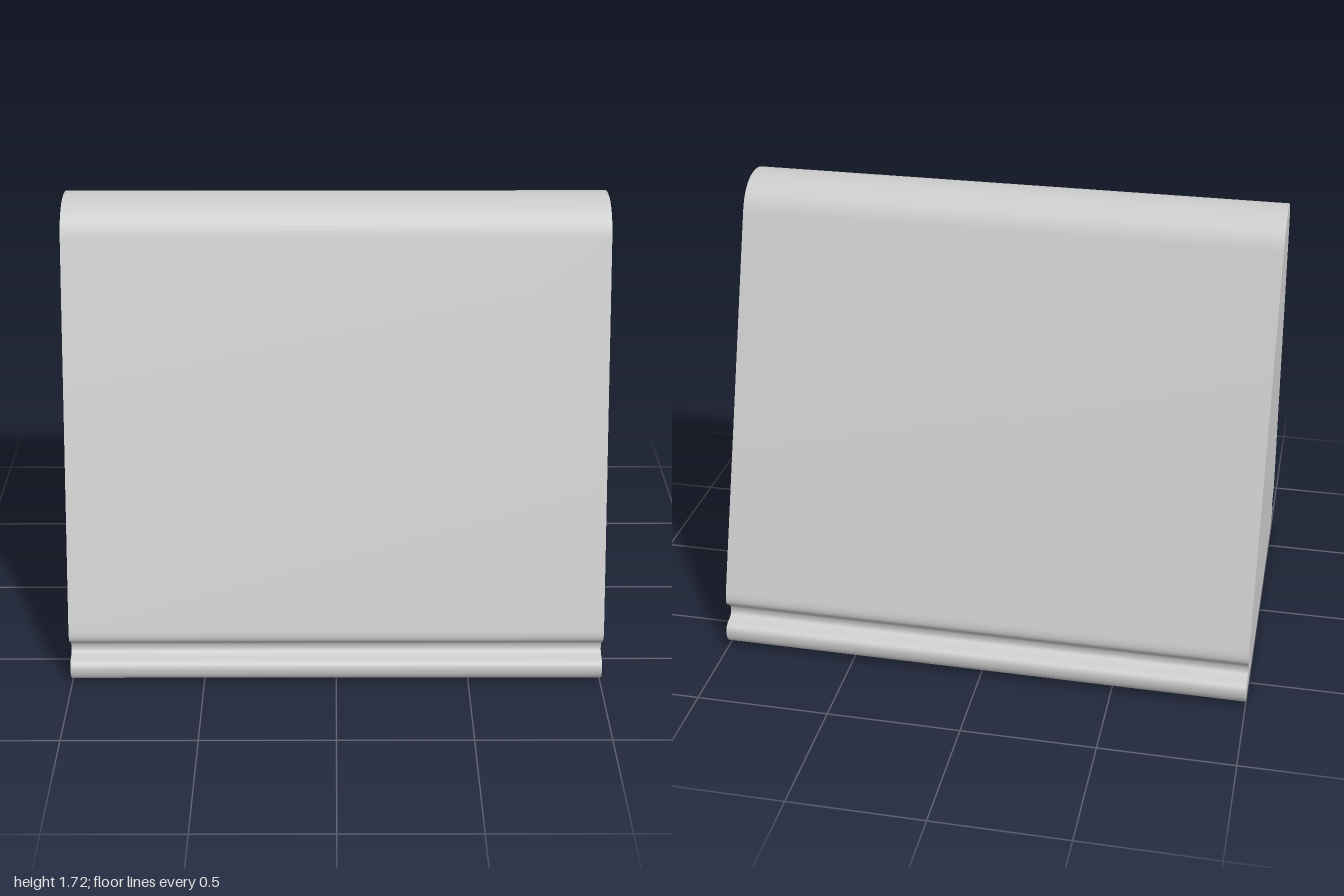
import * as THREE from 'three';
import { toCreasedNormals } from 'three/addons/utils/BufferGeometryUtils.js';

const LENGTH = 2;

// Half of the cross-section (depth, height), from the base centre up to the ridge
function halfProfile() {
  const path = new THREE.Path();
  path.moveTo(0, 0);
  path.lineTo(0.56, 0);
  path.bezierCurveTo(0.635, 0.005, 0.674, 0.02, 0.674, 0.07); // rounded foot
  path.bezierCurveTo(0.674, 0.092, 0.662, 0.1, 0.645, 0.105);
  path.bezierCurveTo(0.62, 0.111, 0.608, 0.118, 0.608, 0.135); // groove
  path.bezierCurveTo(0.608, 0.155, 0.618, 0.164, 0.632, 0.172);
  path.bezierCurveTo(0.65, 0.183, 0.657, 0.2, 0.646, 0.235); // lip above the groove
  path.lineTo(0.16, 1.61); // sloping face
  path.bezierCurveTo(0.135, 1.68, 0.08, 1.72, 0, 1.72); // rounded ridge
  return path.getPoints(14);
}

export function createModel() {
  const group = new THREE.Group();
  group.name = 'wedgeBlock';

  // Mirror the half outline to close the section
  const half = halfProfile();
  const mirrored = half.slice(1, -1).reverse().map((p) => new THREE.Vector2(-p.x, p.y));
  const section = new THREE.Shape([...half, ...mirrored]);

  // Run the section along x, centred
  let geometry = new THREE.ExtrudeGeometry(section, { depth: LENGTH, bevelEnabled: false, steps: 1 });
  geometry.translate(0, 0, -LENGTH / 2);
  geometry.rotateY(Math.PI / 2);

  // Smooth the curves at a larger scale so the small groove points stay distinct
  geometry.scale(20, 20, 20);
  geometry = toCreasedNormals(geometry, Math.PI / 5);
  geometry.scale(0.05, 0.05, 0.05);

  const body = new THREE.Mesh(geometry, new THREE.MeshStandardMaterial({ color: 0xcccccc }));
  body.name = 'body';
  group.add(body);
  return group;
}
